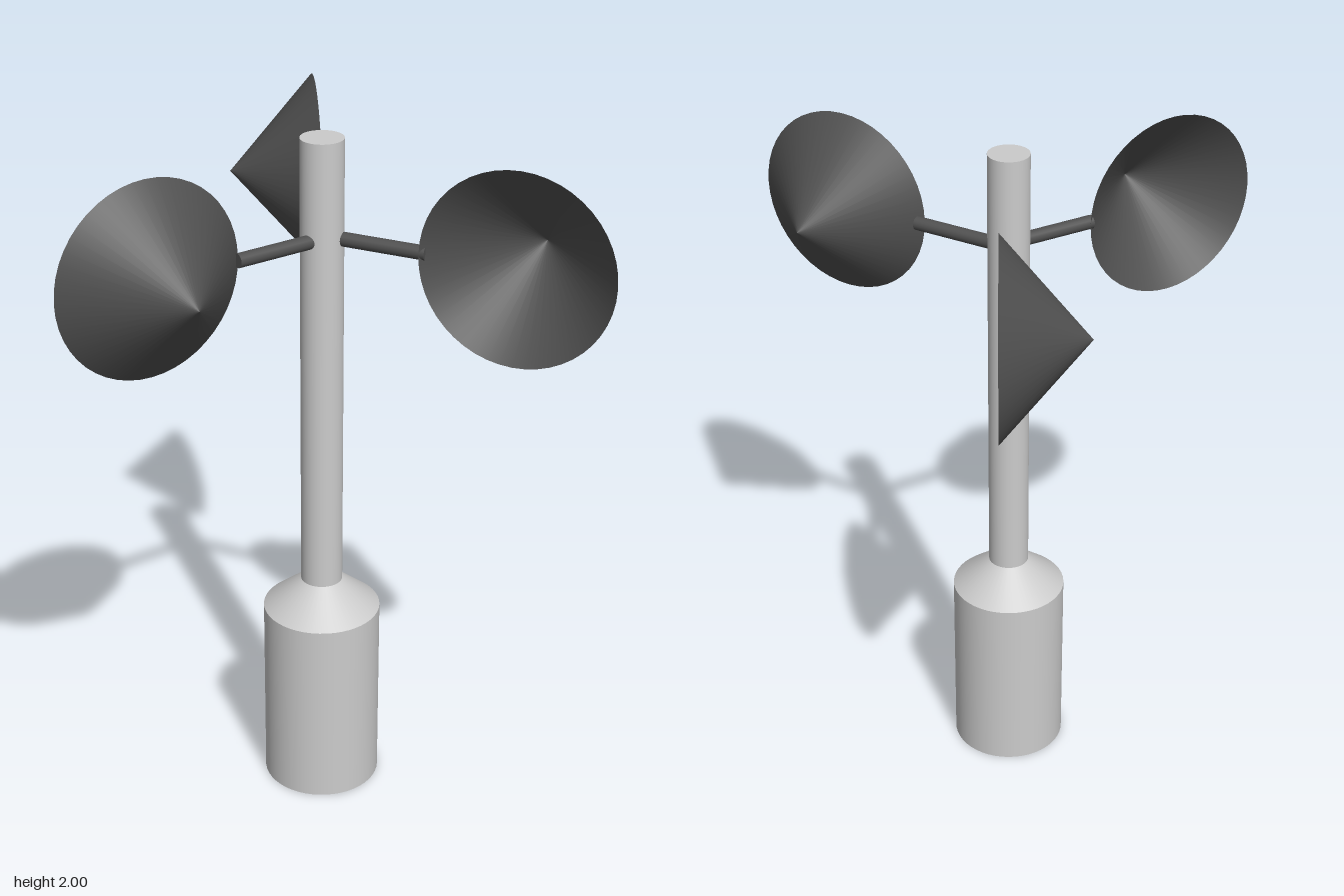
import * as THREE from 'three';

const AXIS_Z = 0.167;

export function createModel() {
  const model = new THREE.Group();
  const grey = new THREE.MeshStandardMaterial({ color: 0xcccccc, side: THREE.DoubleSide });
  const dark = new THREE.MeshStandardMaterial({ color: 0x505050, side: THREE.DoubleSide });
  const glass = new THREE.MeshStandardMaterial({ color: 0xa8bac6, side: THREE.DoubleSide });

  const add = (parent, name, geometry, material, x, y, z) => {
    const mesh = new THREE.Mesh(geometry, material);
    mesh.name = name;
    mesh.position.set(x, y, z);
    parent.add(mesh);
    return mesh;
  };
  // Upright tube or frustum between two heights
  const turned = (name, rTop, rBottom, y0, y1, open = true, material = grey) =>
    add(model, name, new THREE.CylinderGeometry(rTop, rBottom, y1 - y0, 48, 1, open),
      material, 0, (y0 + y1) / 2, AXIS_Z);

  // Housing, shoulder and mast
  turned('housing', 0.17, 0.17, 0, 0.57);
  turned('shoulder', 0.06, 0.17, 0.57, 0.66);
  turned('mast', 0.06, 0.06, 0.64, 2, false);

  // Recessed underside of the housing
  add(model, 'bottomRim', new THREE.RingGeometry(0.13, 0.17, 48).rotateX(Math.PI / 2), grey, 0, 0, AXIS_Z);
  turned('recessWall', 0.13, 0.13, 0, 0.06);
  add(model, 'recessLens', new THREE.CircleGeometry(0.13, 48).rotateX(Math.PI / 2), glass, 0, 0.06, AXIS_Z);

  // Rotor: three arms, each carrying an open conical cup
  const rotor = new THREE.Group();
  rotor.name = 'rotor';
  rotor.position.set(0.011, 1.722, 0.172);
  model.add(rotor);
  const cupRadius = 0.273, cupDepth = 0.245, reach = 0.546;
  const armGeometry = new THREE.CylinderGeometry(0.02, 0.02, 0.265, 20).rotateX(Math.PI / 2);
  const cupGeometry = new THREE.ConeGeometry(cupRadius, cupDepth, 48, 1, true).rotateZ(Math.PI / 2);
  for (let i = 0; i < 3; i++) {
    const wing = new THREE.Group();
    wing.name = 'cupArm' + (i + 1);
    wing.rotation.y = (i * Math.PI * 2) / 3;
    rotor.add(wing);
    add(wing, 'arm', armGeometry, dark, -0.005, 0, -0.155);
    add(wing, 'cup', cupGeometry, dark, 0.015 - cupDepth / 2, 0, -reach);
  }
  return model;
}
